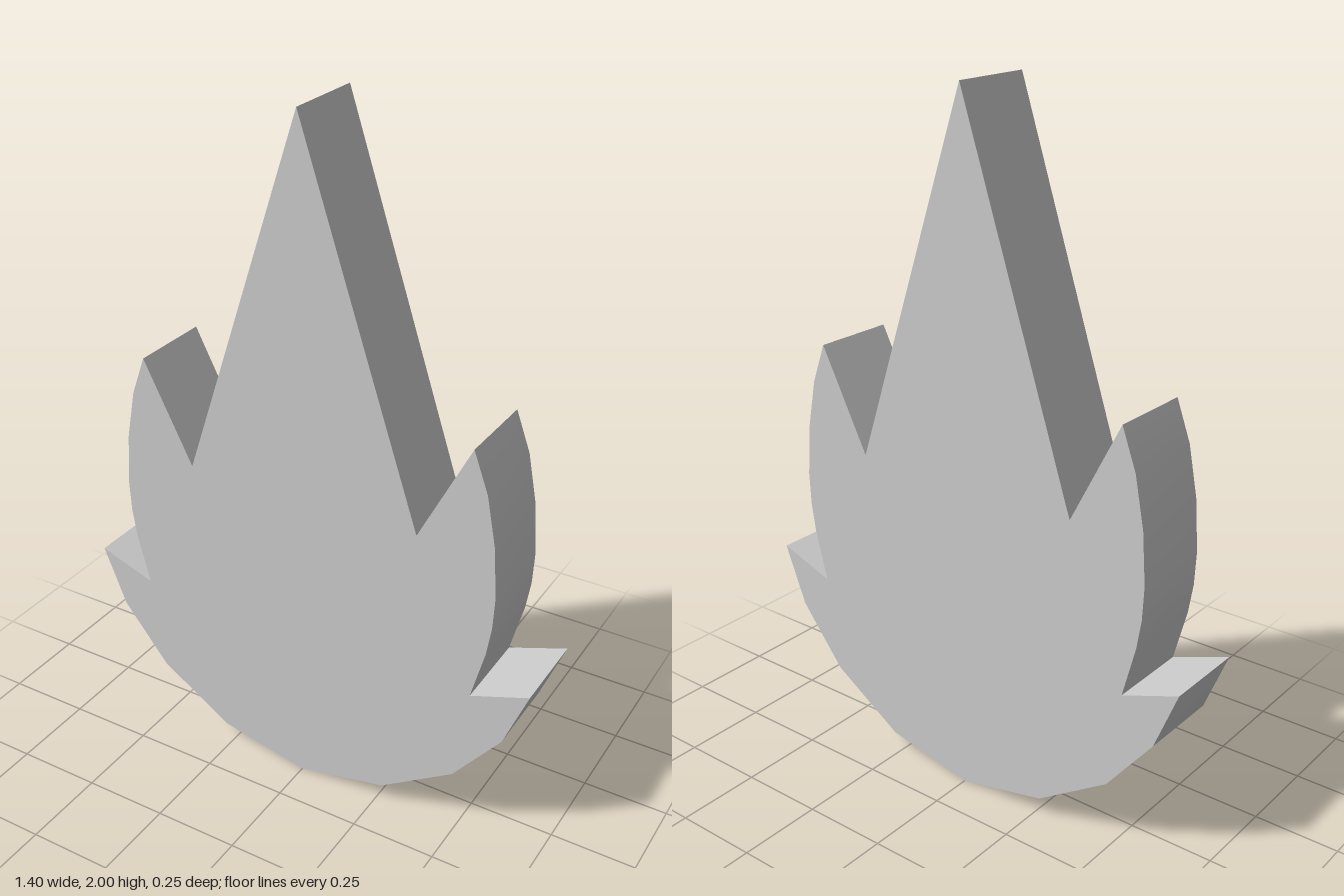
import * as THREE from 'three';
import { toCreasedNormals } from 'three/addons/utils/BufferGeometryUtils.js';

const DEPTH = 0.25;

// Left half of the outline, from the bottom centre up to the tip
const HALF = [
  [0, 0], [0.27, 0.057], [0.49, 0.2], [0.63, 0.376], [0.699, 0.551], // rounded base, low spike
  [0.529, 0.49], [0.567, 0.64], [0.58, 0.725], [0.584, 0.82],        // bulging side
  [0.573, 0.97], [0.545, 1.115], [0.502, 1.232],                     // side tongue
  [0.353, 0.937], [0, 2],                                            // notch, main tip
];

export function createModel() {
  const group = new THREE.Group();
  group.name = 'flame';

  // Mirror the half outline, leaving out the two points on the axis
  const mirrored = HALF.slice(1, -1).reverse().map(([x, y]) => [-x, y]);
  const outline = [...HALF, ...mirrored].map(([x, y]) => new THREE.Vector2(x, y));

  // Flat slab with smooth curved sides and sharp corners
  const slab = new THREE.ExtrudeGeometry(new THREE.Shape(outline), { depth: DEPTH, bevelEnabled: false });
  slab.translate(0, 0, -DEPTH / 2);
  const body = new THREE.Mesh(
    toCreasedNormals(slab, THREE.MathUtils.degToRad(35)),
    new THREE.MeshStandardMaterial({ color: 0xcccccc }),
  );
  body.name = 'flameBody';
  group.add(body);
  return group;
}
